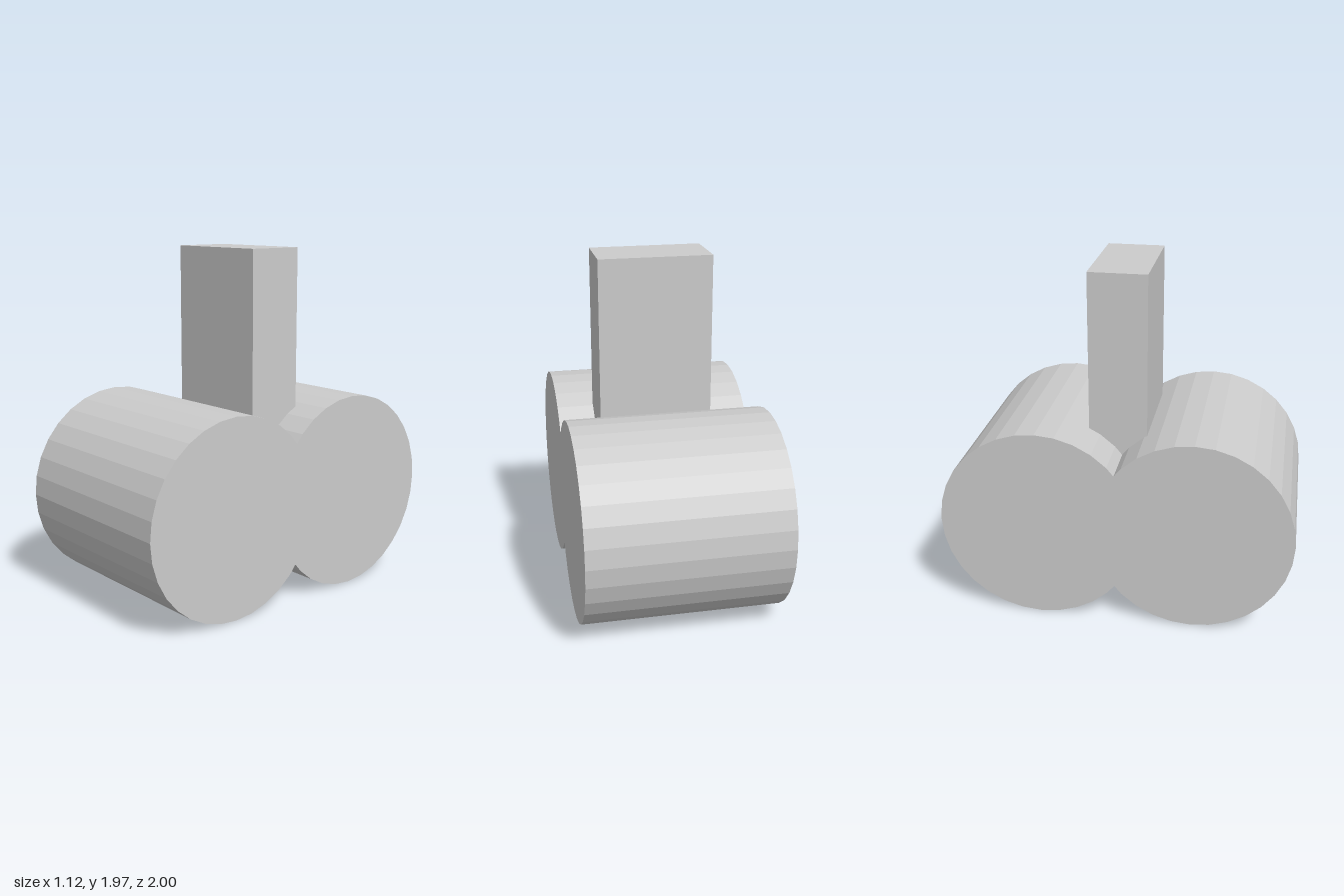
import * as THREE from 'three';

const RADIUS = 0.5625;
const LENGTH = 1.12;

export function createModel() {
  const model = new THREE.Group();
  model.name = 'twinRollersWithPost';
  const material = new THREE.MeshStandardMaterial({ color: 0xcccccc, flatShading: true });

  // Two overlapping rollers lying along x
  const rollerGeometry = new THREE.CylinderGeometry(RADIUS, RADIUS, LENGTH, 32);
  rollerGeometry.rotateZ(Math.PI / 2);
  for (const [name, side] of [['frontRoller', 1], ['backRoller', -1]]) {
    const roller = new THREE.Mesh(rollerGeometry, material);
    roller.name = name;
    roller.position.set(0, RADIUS, side * (1 - RADIUS));
    model.add(roller);
  }

  // Upright post, slightly off centre, sunk into the valley between the rollers
  const top = 1.965, bottom = 0.8;
  const post = new THREE.Mesh(new THREE.BoxGeometry(0.635, top - bottom, 0.33), material);
  post.name = 'post';
  post.position.set(0.032, (top + bottom) / 2, -0.023);
  model.add(post);

  return model;
}
